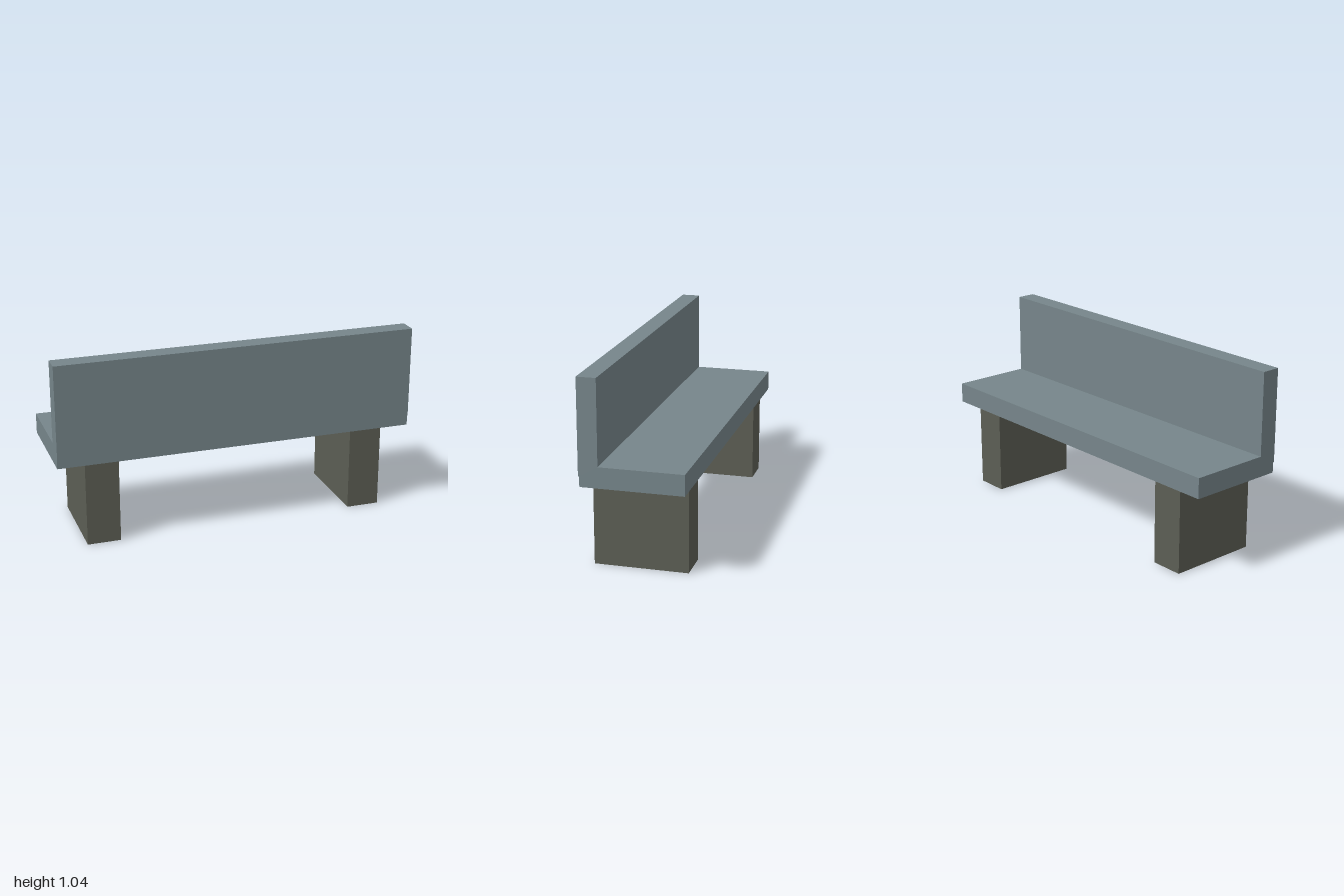
import * as THREE from 'three';

export function createModel() {
  const model = new THREE.Group();
  model.name = 'bench';

  const blueGrey = new THREE.MeshStandardMaterial({ name: 'blue grey', color: 0x76858a });
  const olive = new THREE.MeshStandardMaterial({ name: 'dark olive', color: 0x5c5e54 });

  // Seat and backrest: one L-shaped side profile (z, y) run along the length
  const profile = [
    [-0.273, 0.47], [0.27, 0.47], [0.27, 0.526], [0.276, 0.526],
    [0.276, 1.037], [0.173, 1.037], [0.173, 0.582], [-0.273, 0.582],
  ];
  const shape = new THREE.Shape(profile.map(([z, y]) => new THREE.Vector2(z, y)));
  const seatGeometry = new THREE.ExtrudeGeometry(shape, { depth: 2, bevelEnabled: false });
  seatGeometry.translate(0, 0, -1).rotateY(-Math.PI / 2);
  const seat = new THREE.Mesh(seatGeometry, blueGrey);
  seat.name = 'seatAndBackrest';
  model.add(seat);

  // Block legs
  for (const [name, x] of [['leftLeg', 0.755], ['rightLeg', -0.758]]) {
    const leg = new THREE.Mesh(new THREE.BoxGeometry(0.184, 0.47, 0.502), olive);
    leg.name = name;
    leg.position.set(x, 0.235, -0.001);
    model.add(leg);
  }

  return model;
}
